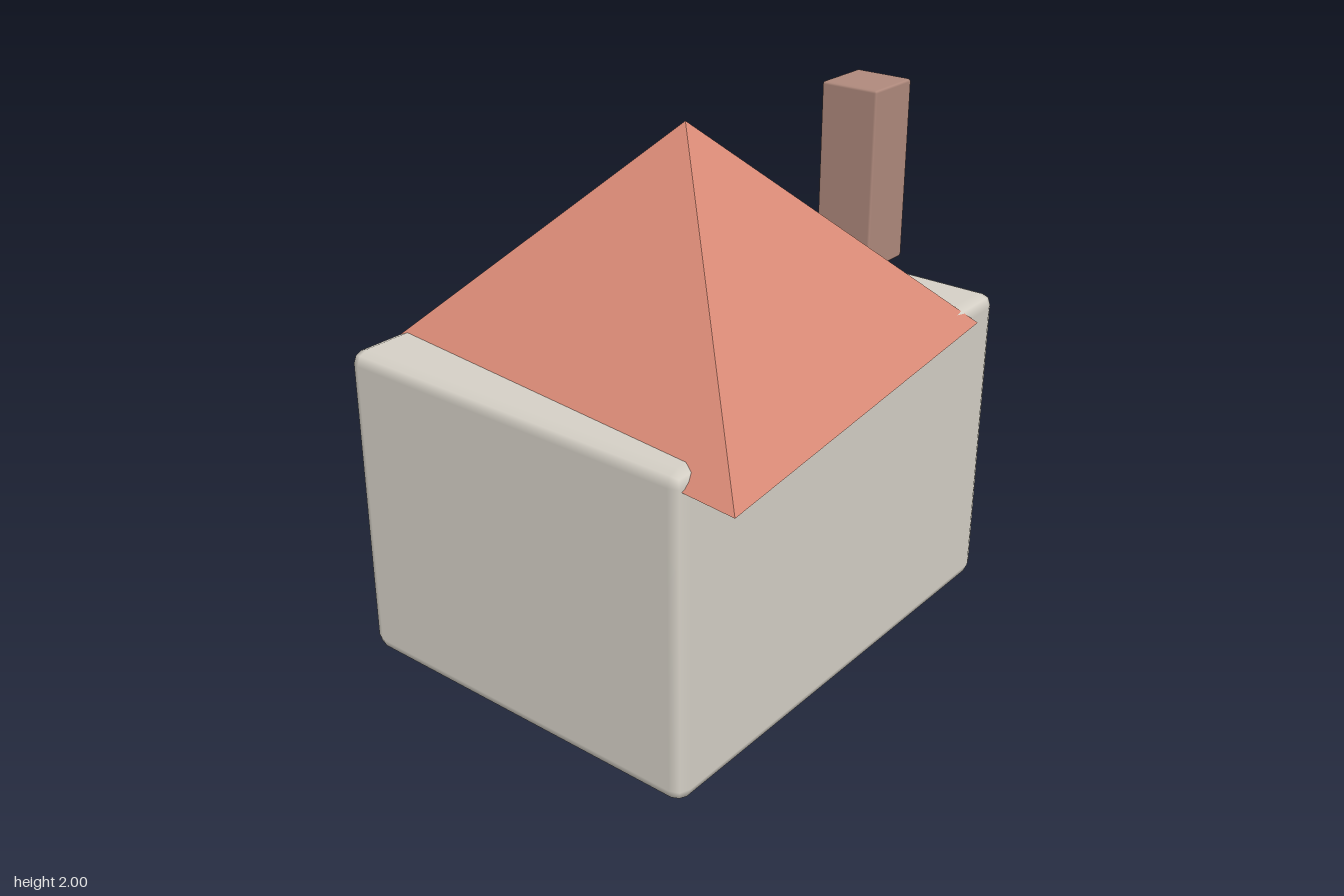
import * as THREE from 'three';
import { RoundedBoxGeometry } from 'three/addons/geometries/RoundedBoxGeometry.js';

const material = (color, flatShading = false) => new THREE.MeshStandardMaterial({ color, flatShading });

// Softly bevelled box given by its minimum and maximum corners
function block(name, min, max, radius, mat) {
  const [w, h, d] = min.map((v, i) => max[i] - v);
  const mesh = new THREE.Mesh(new RoundedBoxGeometry(w, h, d, 1, radius), mat);
  mesh.position.set(...min.map((v, i) => (v + max[i]) / 2));
  mesh.name = name;
  return mesh;
}

// Four-sided pyramid whose base is stretched along one diagonal
function buildRoof() {
  const base = 1.14, apex = 1.925;
  const geometry = new THREE.ConeGeometry(Math.SQRT2, apex - base, 4).rotateY(Math.PI / 4);
  const p = geometry.attributes.position;
  for (let i = 0; i < p.count; i++) {
    const reach = p.getX(i) * p.getZ(i) > 0 ? 0.755 : 0.93;
    p.setX(i, p.getX(i) * reach);
    p.setZ(i, p.getZ(i) * reach);
  }
  geometry.computeVertexNormals();
  const roof = new THREE.Mesh(geometry, material(0xd98a76, true));
  roof.position.y = (base + apex) / 2;
  roof.name = 'roof';
  return roof;
}

export function createModel() {
  const house = new THREE.Group();
  house.name = 'house';
  const wood = material(0x8a6a4c);

  house.add(block('walls', [-0.93, 0, -0.73], [0.93, 1.2, 0.73], 0.05, material(0xd6d1c7)));
  house.add(buildRoof());
  house.add(block('chimney', [0.485, 1.34, 0.22], [0.71, 2, 0.445], 0.01, material(0xb08a7d)));

  // Door with a window on each side, on the back wall
  house.add(block('door', [-0.187, 0.025, -0.755], [0.187, 0.72, -0.7], 0.008, wood));
  for (const [name, x] of [['windowLeft', 0.52], ['windowRight', -0.52]]) {
    house.add(block(name, [x - 0.15, 0.52, -0.755], [x + 0.15, 0.82, -0.7], 0.008, wood));
  }
  return house;
}
